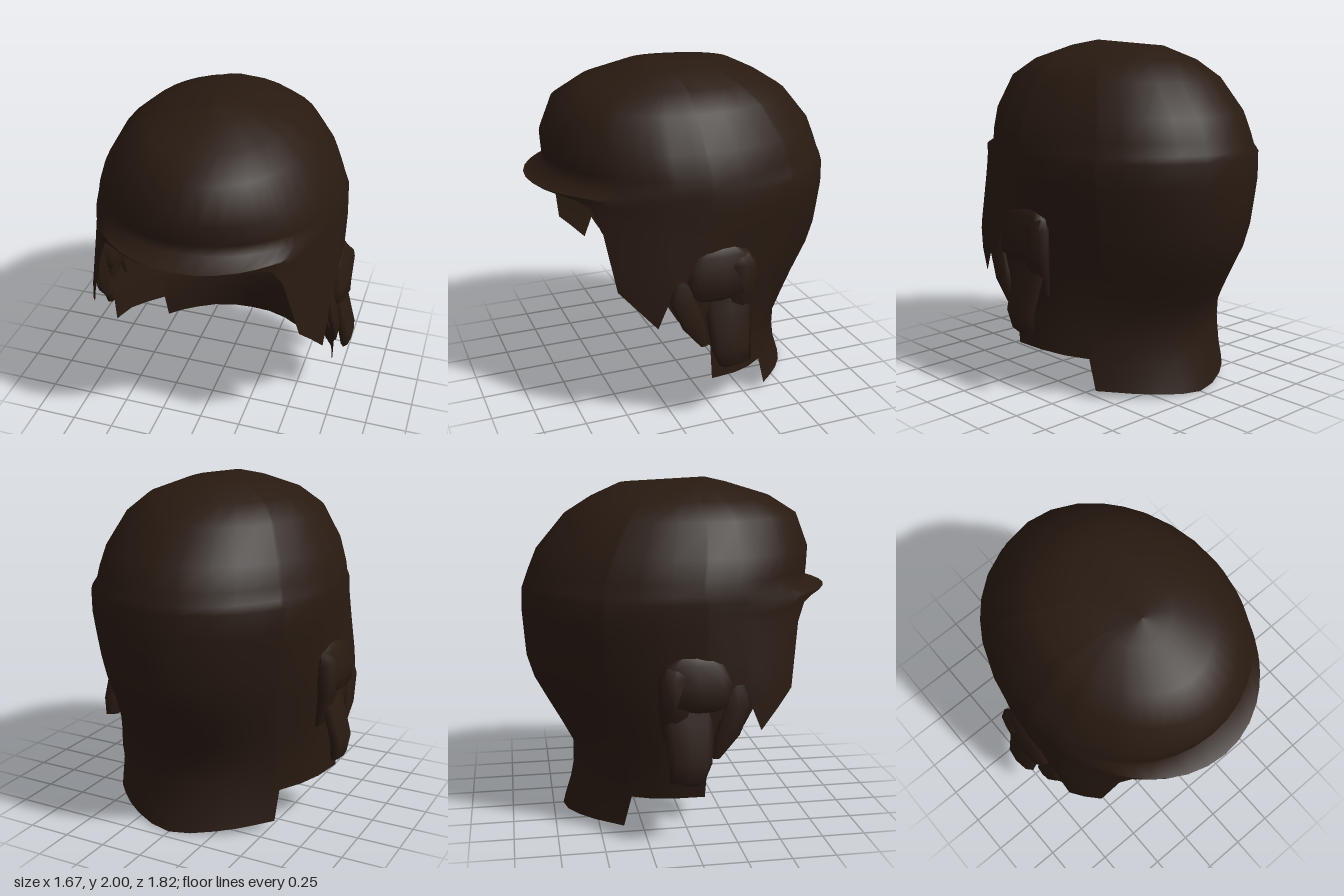
import * as THREE from 'three';

const hair = new THREE.MeshStandardMaterial({ color: 0x281a11, side: THREE.DoubleSide });

// Head sections from the crown down:
// [y, half width, front z, back z, z of widest point, widening towards the front]
const SECTIONS = [
  [2.0, 0, 0.19, 0.19, 0.19, 0], [1.97, 0.22, 0.32, -0.32, 0.08, 0], [1.89, 0.43, 0.58, -0.49, 0.02, 0],
  [1.79, 0.55, 0.74, -0.65, 0, 0.03], [1.6, 0.66, 0.81, -0.81, -0.03, 0.06], [1.48, 0.7, 0.8, -0.86, -0.05, 0.08],
  [1.41, 0.715, 0.79, -0.885, -0.05, 0.08], [1.37, 0.725, 0.915, -0.9, -0.05, 0.02], [1.3, 0.73, 0.9, -0.91, -0.05, 0.02],
  [1.15, 0.73, 0.9, -0.9, -0.05, 0.08], [0.89, 0.73, 0.89, -0.88, -0.05, 0.2], [0.65, 0.72, 0.87, -0.75, -0.05, 0.28],
  [0.42, 0.71, 0.86, -0.62, -0.05, 0.28], [0.22, 0.71, 0.86, -0.62, -0.05, 0.28], [0, 0.71, 0.86, -0.69, -0.05, 0.25],
];

// Hem height by angle from the front (degrees); close pairs make the stepped locks
const HEM = [
  [0, 1.37], [9, 1.37], [18, 1.365], [27, 1.36], [34, 1.35], [40, 1.32], [44, 1.22], [48, 0.86],
  [55, 0.76], [62, 0.65], [66, 0.78], [69, 0.7], [78, 0.53], [82, 0.5], [83, 0.28], [95, 0.265],
  [107, 0.245], [119, 0.23], [121, 0.05], [130, 0.045], [140, 0.035], [152, 0.025], [166, 0.01], [180, 0],
];

function section(y) {
  let i = 0;
  while (i < SECTIONS.length - 2 && SECTIONS[i + 1][0] > y) i++;
  const a = SECTIONS[i], b = SECTIONS[i + 1];
  const t = (a[0] - y) / (a[0] - b[0]);
  return a.map((v, k) => v + (b[k] - v) * t);
}

function shellPoint(y, degrees) {
  const [, w, front, back, mid, widen] = section(y);
  const a = THREE.MathUtils.degToRad(degrees), c = Math.cos(a);
  return [w * Math.sin(a) * (1 + widen * c), y, mid + (c > 0 ? front - mid : mid - back) * c];
}

function surface(positions, index) {
  const g = new THREE.BufferGeometry();
  g.setAttribute('position', new THREE.Float32BufferAttribute(positions, 3));
  g.setIndex(index);
  g.computeVertexNormals();
  return g;
}

// Cap of hair with fringe lip, open face and nape
function capGeometry() {
  const columns = [...HEM.slice(1, -1).reverse().map(([a, h]) => [-a, h]), ...HEM];
  const n = columns.length, upper = 8, lower = 10, rows = upper + lower;
  const positions = [], index = [];
  for (let r = 0; r < rows; r++) {
    for (const [angle, hem] of columns) {
      const y = r < upper ? Math.max(SECTIONS[r][0], hem)
        : THREE.MathUtils.lerp(1.37, hem, (r - upper + 1) / lower);
      positions.push(...shellPoint(y, angle));
    }
  }
  for (let r = 0; r < rows - 1; r++) {
    for (let c = 0; c < n; c++) {
      const a = r * n + c, b = r * n + (c + 1) % n;
      index.push(a, a + n, b, b, a + n, b + n);
    }
  }
  return surface(positions, index);
}

// Lock of hair lofted through rings [x, y, z, thickness, breadth], on either side
function lockGeometry(rings, side) {
  const n = 8, positions = [], index = [];
  for (const [x, y, z, rx, rz] of rings) {
    for (let i = 0; i < n; i++) {
      const a = (i / n) * Math.PI * 2;
      positions.push(side * (x + rx * Math.sin(a)), y, z + rz * Math.cos(a));
    }
  }
  for (let r = 0; r < rings.length - 1; r++) {
    for (let i = 0; i < n; i++) {
      const a = r * n + i, b = r * n + (i + 1) % n;
      if (side > 0) index.push(a, a + n, b, b, a + n, b + n);
      else index.push(a, b, a + n, b, b + n, a + n);
    }
  }
  return surface(positions, index);
}

const LOCKS = {
  // rounded tuft over the ear
  EarTuft: [[0.71, 1.08, 0.01, 0.02, 0.1], [0.72, 1.04, 0.01, 0.04, 0.17], [0.73, 0.92, 0.02, 0.06, 0.2],
    [0.73, 0.82, 0.02, 0.07, 0.19], [0.7, 0.76, 0.02, 0.03, 0.14]],
  // strand hanging below the ear
  EarStrand: [[0.72, 0.82, -0.03, 0.02, 0.15], [0.74, 0.7, -0.03, 0.035, 0.14], [0.79, 0.5, -0.03, 0.045, 0.12],
    [0.79, 0.4, -0.05, 0.03, 0.1], [0.78, 0.37, -0.02, 0.005, 0.03]],
  // raised hair behind the ear
  BackTuft: [[0.69, 1.07, -0.08, 0.02, 0.06], [0.73, 0.98, -0.11, 0.06, 0.09], [0.73, 0.78, -0.11, 0.05, 0.09],
    [0.69, 0.6, -0.1, 0.02, 0.07]],
  // strand in front of the ear
  CheekStrand: [[0.72, 0.92, 0.24, 0.01, 0.05], [0.735, 0.8, 0.24, 0.03, 0.08], [0.75, 0.64, 0.18, 0.025, 0.07],
    [0.75, 0.51, 0.12, 0.005, 0.02]],
};

export function createModel() {
  const model = new THREE.Group();
  model.name = 'hair';
  const add = (name, geometry) => {
    const mesh = new THREE.Mesh(geometry, hair);
    mesh.name = name;
    model.add(mesh);
  };
  add('hairCap', capGeometry());
  for (const [name, rings] of Object.entries(LOCKS)) {
    add('left' + name, lockGeometry(rings, 1));
    add('right' + name, lockGeometry(rings, -1));
  }
  return model;
}
